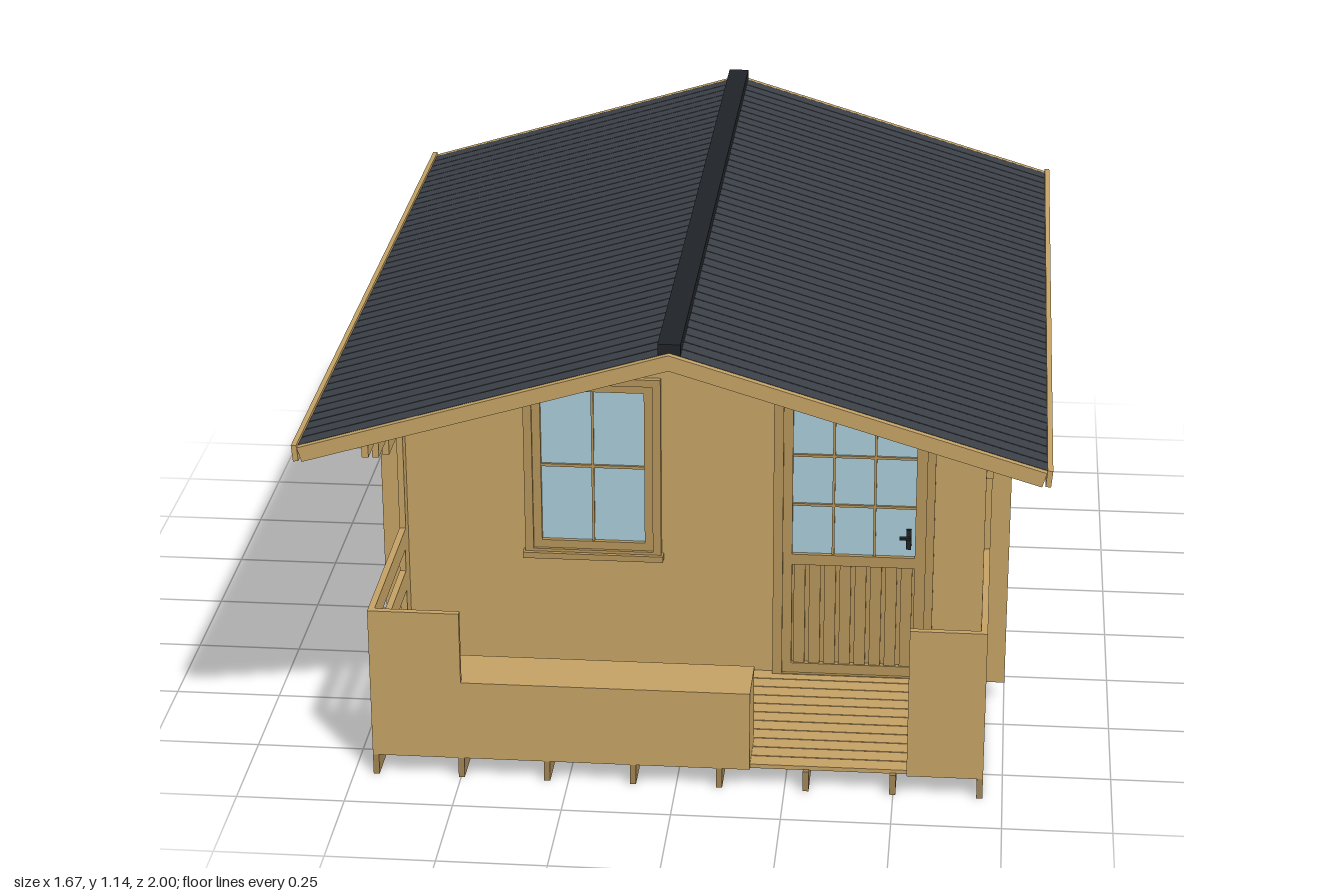
import * as THREE from 'three';

const mat = (color) => new THREE.MeshStandardMaterial({ color, flatShading: true });

export function createModel() {
  const root = new THREE.Group();
  const wood = mat(0xc4a265), trim = mat(0xb4945a), dark = mat(0xa08354);
  const slate = mat(0x3b3f47), black = mat(0x202327), glass = mat(0xa8cbd8);

  const group = (name) => {
    const g = new THREE.Group();
    g.name = name;
    root.add(g);
    return g;
  };
  const add = (parent, name, geometry, material) => {
    const m = new THREE.Mesh(geometry, material);
    m.name = name;
    parent.add(m);
    return m;
  };
  // Box given by its lower and upper limits on each axis
  const box = (parent, name, material, x0, x1, y0, y1, z0, z1) => {
    const m = add(parent, name, new THREE.BoxGeometry(x1 - x0, y1 - y0, z1 - z0), material);
    m.position.set((x0 + x1) / 2, (y0 + y1) / 2, (z0 + z1) / 2);
    return m;
  };
  const polygon = (pts) => new THREE.Shape(pts.map(([x, y]) => new THREE.Vector2(x, y)));
  const rect = (x0, x1, y0, y1) => polygon([[x0, y0], [x1, y0], [x1, y1], [x0, y1]]);
  const extrude = (shape, depth) => new THREE.ExtrudeGeometry(shape, { depth, bevelEnabled: false });
  // Rectangular frame: outer limits, inner limits, depth range
  const frame = (parent, name, material, outer, inner, z0, z1) => {
    const s = rect(...outer);
    s.holes.push(rect(...inner));
    add(parent, name, extrude(s, z1 - z0), material).position.z = z0;
  };

  const slope = 0.3, ridgeY = 1.125, angle = Math.atan(slope);
  const roofY = (x) => ridgeY - slope * Math.abs(x);

  // Base: joists along the depth, with cross beams
  const base = group('base');
  for (let i = 0; i < 8; i++) {
    const x = -0.698 + i * 1.396 / 7;
    box(base, 'joist', dark, x - 0.007, x + 0.007, 0, 0.05, -0.92, 0.865);
  }
  for (const z of [-0.913, 0.372]) box(base, 'crossBeam', dark, -0.69, 0.69, 0, 0.05, z - 0.007, z + 0.007);

  // Floor boards with narrow gaps
  const floor = group('floor');
  const boards = 41, boardPitch = 1.77 / boards;
  for (let i = 0; i < boards; i++) {
    const z = -0.915 + i * boardPitch;
    box(floor, 'floorBoard', wood, -0.69, 0.69, 0.048, 0.058, z, z + boardPitch - 0.003);
  }

  // Gable walls, the front one with openings
  const walls = group('walls');
  const gable = () => polygon([[-0.75, 0.05], [0.75, 0.05], [0.75, roofY(0.75) - 0.012],
    [0, ridgeY - 0.012], [-0.75, roofY(0.75) - 0.012]]);
  const front = gable();
  front.holes.push(rect(-0.38, -0.1, 0.375, 0.795), rect(0.215, 0.55, 0.06, 0.79));
  add(walls, 'frontWall', extrude(front, 0.016), wood).position.z = 0.364;
  add(walls, 'backWall', extrude(gable(), 0.016), wood).position.z = -0.928;

  // Side walls with stepped roof brackets over the porch
  const top = roofY(0.705) - 0.012;
  const side = polygon([[-0.965, 0.05], [0.415, 0.05], [0.415, 0.69], [0.595, 0.69], [0.595, 0.74],
    [0.725, 0.74], [0.725, 0.795], [0.85, 0.795], [0.85, top], [-0.965, top]]);
  // Slotted porch railing
  const rail = rect(0.415, 0.865, 0.05, 0.42);
  for (const y of [0.1, 0.208, 0.315]) rail.holes.push(rect(0.432, 0.81, y, y + 0.055));
  const porch = group('porch');
  for (const x of [0.705, -0.69]) {
    const w = add(walls, 'sideWall', extrude(side, 0.015), wood);
    const r = add(porch, 'sideRailing', extrude(rail, 0.015), wood);
    for (const m of [w, r]) {
      m.rotation.y = -Math.PI / 2;
      m.position.x = x;
    }
  }

  // Porch front panels and bench
  box(porch, 'frontPanel', wood, -0.705, -0.495, 0.05, 0.42, 0.85, 0.865);
  box(porch, 'frontPanel', wood, 0.53, 0.705, 0.05, 0.42, 0.85, 0.865);
  box(porch, 'benchBox', wood, -0.689, 0.17, 0.058, 0.235, 0.73, 0.85);
  box(porch, 'benchFront', wood, -0.495, 0.17, 0.05, 0.235, 0.85, 0.865);
  box(porch, 'benchSeat', wood, -0.689, 0.17, 0.235, 0.245, 0.725, 0.85);
  box(porch, 'benchSeatEdge', wood, -0.495, 0.17, 0.235, 0.245, 0.85, 0.865);

  // Window
  const win = group('window');
  frame(win, 'windowCasing', trim, [-0.405, -0.078, 0.36, 0.815], [-0.385, -0.098, 0.37, 0.797], 0.36, 0.395);
  frame(win, 'windowSash', trim, [-0.385, -0.098, 0.37, 0.797], [-0.365, -0.118, 0.39, 0.777], 0.364, 0.387);
  box(win, 'windowSill', trim, -0.41, -0.073, 0.348, 0.363, 0.375, 0.405);
  box(win, 'windowGlass', glass, -0.365, -0.118, 0.39, 0.777, 0.37, 0.376);
  box(win, 'glazingBar', trim, -0.2445, -0.2385, 0.39, 0.777, 0.367, 0.382);
  box(win, 'glazingBar', trim, -0.365, -0.118, 0.58, 0.587, 0.367, 0.382);

  // Door with glazed top and slatted lower panel
  const door = group('door');
  frame(door, 'doorCasing', trim, [0.19, 0.572, 0.056, 0.815], [0.213, 0.552, 0.06, 0.792], 0.36, 0.395);
  const leaf = rect(0.213, 0.552, 0.06, 0.792);
  leaf.holes.push(rect(0.235, 0.527, 0.375, 0.758), rect(0.235, 0.527, 0.085, 0.348));
  add(door, 'doorLeaf', extrude(leaf, 0.023), trim).position.z = 0.364;
  box(door, 'doorGlass', glass, 0.235, 0.527, 0.375, 0.758, 0.37, 0.376);
  for (const x of [0.332, 0.43]) box(door, 'doorGlazingBar', trim, x - 0.003, x + 0.003, 0.375, 0.758, 0.367, 0.382);
  for (const y of [0.503, 0.63]) box(door, 'doorGlazingBar', trim, 0.235, 0.527, y - 0.003, y + 0.003, 0.367, 0.382);
  box(door, 'doorPanel', trim, 0.235, 0.527, 0.085, 0.348, 0.366, 0.374);
  for (let i = 0; i < 8; i++) {
    const x = 0.2395 + i * 0.0365;
    box(door, 'doorSlat', trim, x, x + 0.027, 0.085, 0.348, 0.374, 0.383);
  }
  box(door, 'doorHandlePlate', black, 0.506, 0.518, 0.4, 0.45, 0.383, 0.392);
  box(door, 'doorHandle', black, 0.49, 0.516, 0.428, 0.434, 0.392, 0.402);

  // Roof boards running down each slope
  const roof = group('roof');
  const rows = 45, pitch = 1.97 / rows, length = 0.82 / Math.cos(angle), thick = 0.012;
  for (const s of [-1, 1]) {
    for (let i = 0; i < rows; i++) {
      const b = add(roof, 'roofBoard', new THREE.BoxGeometry(length, thick, pitch - 0.003), slate);
      b.rotation.z = -s * angle;
      b.position.set(s * 0.41, roofY(0.41) - thick / 2, -0.985 + (i + 0.5) * pitch);
    }
    // Eave board
    const eave = add(roof, 'eaveBoard', new THREE.BoxGeometry(0.012, 0.038, 2), wood);
    eave.rotation.z = -s * angle * 0.3;
    eave.position.set(s * 0.825, 0.866, 0);
  }
  // Barge boards on both gables
  const barge = polygon([[0, ridgeY], [-0.82, roofY(0.82)], [-0.81, roofY(0.81) - 0.036],
    [0, ridgeY - 0.036], [0.81, roofY(0.81) - 0.036], [0.82, roofY(0.82)]]);
  for (const z of [-1, 0.985]) add(roof, 'bargeBoard', extrude(barge, 0.015), wood).position.z = z;
  // Ridge cap
  box(roof, 'ridgeCap', black, -0.025, 0.025, 1.12, 1.145, -0.985, 0.985);

  return root;
}
